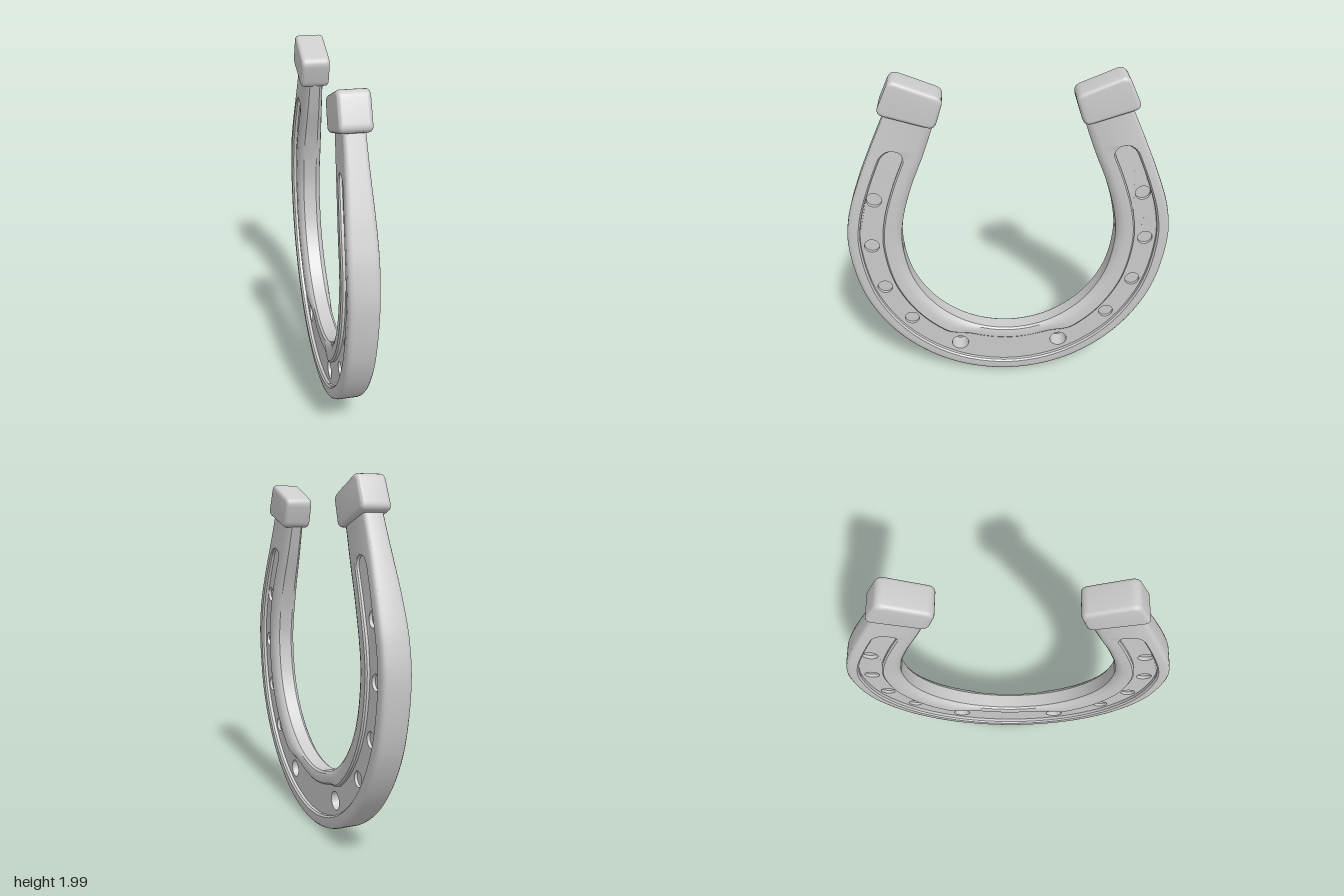
import * as THREE from 'three';
import { toCreasedNormals } from 'three/addons/utils/BufferGeometryUtils.js';

const { lerp, smoothstep } = THREE.MathUtils;
const material = new THREE.MeshStandardMaterial({ color: 0xcccccc });
const GROOVE_END = 7.1; // stations run from -8 (one tip) over 0 (toe) to 8 (other tip)

// Mirrored outline: a half ellipse at the toe, then points up one branch, as (z, y)
function outline(rz, ry, branch) {
  const half = [];
  for (let i = 0; i <= 4; i++) {
    const a = (i * Math.PI) / 8;
    half.push([rz * Math.sin(a), 1 - ry * Math.cos(a)]);
  }
  half.push(...branch);
  const left = half.slice(1).reverse().map(([z, y]) => [-z, y]);
  return new THREE.CatmullRomCurve3([...left, ...half].map(([z, y]) => new THREE.Vector3(0, y, z)));
}
const outer = outline(0.92, 0.99, [[0.897, 1.2], [0.83, 1.4], [0.745, 1.6], [0.63, 1.85]]);
const inner = outline(0.615, 0.665, [[0.597, 1.17], [0.54, 1.37], [0.46, 1.57], [0.385, 1.78]]);

// Point at station u, a fraction w of the way from outer to inner edge
const bandPoint = (u, w) => {
  const t = (u + 8) / 16;
  return outer.getPoint(t).lerp(inner.getPoint(t), w);
};
// The branches get thinner towards the tips
const taper = (y) => 1 - 0.29 * smoothstep(y, 1.2, 1.85);

// Edges of the groove; k closes it with a round end
function groove(u) {
  const s = Math.abs(u);
  const e = Math.max(0, (s - GROOVE_END + 0.3) / 0.3);
  const k = e >= 1 ? 0 : Math.sqrt(1 - e * e);
  const a = lerp(0.41, 0.235, k);
  const b = lerp(0.41, lerp(0.77, 0.655, smoothstep(s, 0.9, 1.5)), k);
  return { a, b, k };
}

// Half sections as [w, x]
function outerSection(u) {
  const { a, k } = groove(u);
  return [[0, 0.052], [0.012, 0.067], [0.04, 0.076], [0.09, 0.08],
    [a - 0.03, 0.08], [a, lerp(0.08, 0.07, k)], [a, 0.02]];
}
function innerSection(u) {
  const { b, k } = groove(u);
  const land = lerp(0.08, lerp(0.058, 0.074, smoothstep(Math.abs(u), 0.6, 1.5)), k);
  return [[b, 0.02], [b, lerp(0.08, land - 0.008, k)], [b + 0.03, land], [0.84, Math.min(land, 0.073)],
    [0.91, Math.min(land, 0.065)], [0.97, 0.053], [1, 0.04]];
}

// Sweep a mirrored section along the shoe
function sweep(section, segments = 480) {
  const positions = [], index = [];
  let n = 0;
  for (let i = 0; i <= segments; i++) {
    const u = (i / segments) * 16 - 8;
    const half = section(u);
    const ring = [...half, ...half.map(([w, x]) => [w, -x]).reverse()];
    n = ring.length;
    for (const [w, x] of ring) {
      const p = bandPoint(u, w);
      positions.push(x * taper(p.y), p.y, p.z);
    }
  }
  for (let i = 0; i < segments; i++) {
    for (let j = 0; j < n; j++) {
      const p = i * n + j, q = i * n + ((j + 1) % n);
      index.push(p, q, p + n, q, q + n, p + n);
    }
  }
  const geometry = new THREE.BufferGeometry();
  geometry.setAttribute('position', new THREE.Float32BufferAttribute(positions, 3));
  geometry.setIndex(index);
  return toCreasedNormals(geometry, 0.6);
}

// Plate filling the groove, with round holes [z, y, radius] on both branches
function plate(halfThickness, holes) {
  const a = [], b = [];
  for (let i = 0; i <= 240; i++) {
    const u = lerp(-GROOVE_END, GROOVE_END, i / 240);
    const g = groove(u);
    const p = bandPoint(u, g.a - 0.03), q = bandPoint(u, g.b + 0.03);
    a.push(new THREE.Vector2(p.z, p.y));
    b.push(new THREE.Vector2(q.z, q.y));
  }
  const shape = new THREE.Shape([...a, ...b.reverse()]);
  for (const [z, y, r] of holes) {
    for (const s of [-1, 1]) shape.holes.push(new THREE.Path().absarc(s * z, y, r, 0, Math.PI * 2, true));
  }
  const geometry = new THREE.ExtrudeGeometry(shape, { depth: halfThickness * 2, bevelEnabled: false, curveSegments: 28 });
  geometry.translate(0, 0, -halfThickness).rotateY(-Math.PI / 2);
  const pos = geometry.attributes.position;
  for (let i = 0; i < pos.count; i++) pos.setX(i, pos.getX(i) * taper(pos.getY(i)));
  return toCreasedNormals(geometry, 0.5);
}

// Rounded block bent over each tip
function heelGeometry() {
  const corners = [[0.39, 1.73], [0.69, 1.825], [0.602, 2.012], [0.335, 1.903]].map((c) => new THREE.Vector2(...c));
  const shape = new THREE.Shape();
  corners.forEach((c, i) => {
    const from = c.clone().lerp(corners[(i + 3) % 4], 0.045 / c.distanceTo(corners[(i + 3) % 4]));
    const to = c.clone().lerp(corners[(i + 1) % 4], 0.045 / c.distanceTo(corners[(i + 1) % 4]));
    if (i === 0) shape.moveTo(from.x, from.y);
    else shape.lineTo(from.x, from.y);
    shape.quadraticCurveTo(c.x, c.y, to.x, to.y);
  });
  shape.closePath();
  const bevel = 0.022;
  const geometry = new THREE.ExtrudeGeometry(shape, {
    depth: 0.164 - 2 * bevel, bevelThickness: bevel, bevelSize: bevel, bevelOffset: -bevel, bevelSegments: 5, curveSegments: 6,
  });
  geometry.translate(0, 0, -0.082 + bevel).rotateY(-Math.PI / 2);
  return toCreasedNormals(geometry, 0.7);
}

export function createModel() {
  const group = new THREE.Group();
  group.name = 'horseshoe';
  const add = (name, geometry) => {
    const mesh = new THREE.Mesh(geometry, material);
    mesh.name = name;
    group.add(mesh);
    return mesh;
  };

  add('outerRim', sweep(outerSection));
  add('innerRim', sweep(innerSection));

  // Groove floor: open nail holes near the toe, shallow dimples up the branches
  const nailHoles = [[0.31, 0.235, 0.052]];
  const dimples = [[0.598, 0.452], [0.74, 0.7], [0.788, 1], [0.746, 1.305]].map(([z, y]) => [z, y, 0.043]);
  add('grooveFloor', plate(0.052, [...nailHoles, ...dimples]));
  add('dimpleFloor', plate(0.035, nailHoles));

  // Heel blocks
  const heel = heelGeometry();
  add('frontHeel', heel);
  add('backHeel', heel).rotation.y = Math.PI;
  return group;
}
